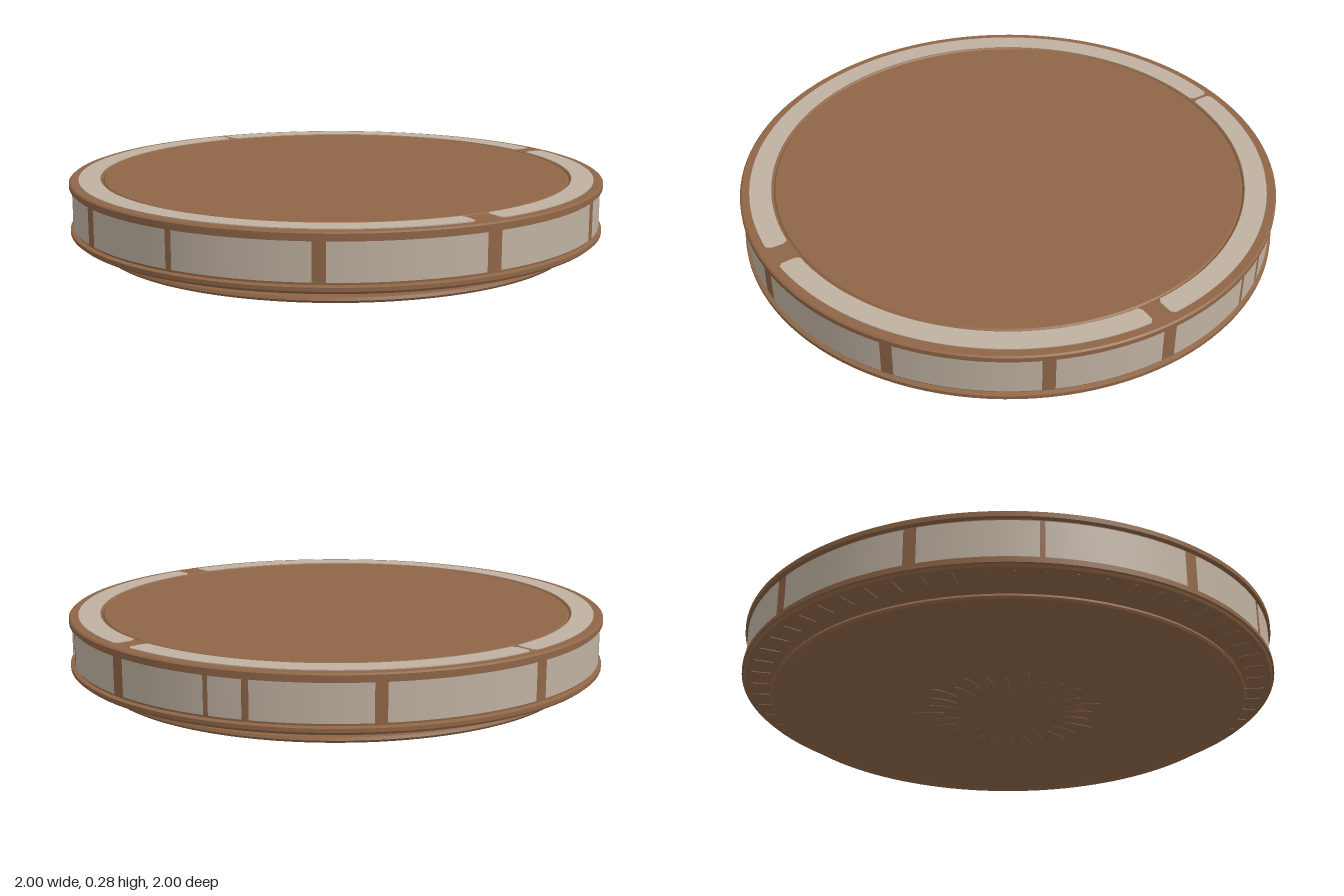
import * as THREE from 'three';
import { toCreasedNormals } from 'three/addons/utils/BufferGeometryUtils.js';

const rad = THREE.MathUtils.degToRad;

export function createModel() {
  const model = new THREE.Group();
  const brown = new THREE.MeshStandardMaterial({ color: 0x8f6647 });
  brown.name = 'brown';
  const cream = new THREE.MeshStandardMaterial({ color: 0xbfb1a1, side: THREE.DoubleSide });
  cream.name = 'cream';

  const add = (name, geometry, material, parent = model) => {
    const mesh = new THREE.Mesh(geometry, material);
    mesh.name = name;
    parent.add(mesh);
    return mesh;
  };
  const group = (name) => {
    const g = new THREE.Group();
    g.name = name;
    model.add(g);
    return g;
  };
  // Turned solid from [radius, height] pairs, running from bottom to top
  const turned = (points) => toCreasedNormals(
    new THREE.LatheGeometry(points.map(([r, y]) => new THREE.Vector2(r, y)), 120), rad(25));

  // Drum with two flanges, a recessed side wall and a gently domed top
  add('drumBody', turned([
    [0, 0.085], [0.86, 0.085], [0.87, 0.074], [0.985, 0.074], [0.99, 0.083],
    [0.998, 0.085], [0.998, 0.098], [0.982, 0.102], [0.982, 0.25],
    [0.998, 0.253], [0.998, 0.27], [0.992, 0.275], [0.88, 0.276],
    [0.874, 0.27], [0.868, 0.276], [0.3, 0.281], [0, 0.284],
  ]), brown);

  // Thin base plate floating below the drum
  add('basePlate', turned([
    [0, 0.004], [0.36, 0.008], [0.86, 0.018], [0.865, 0.014],
    [0.885, 0.016], [0.89, 0.024], [0.885, 0.034], [0.84, 0.03], [0, 0.03],
  ]), brown);

  // Side panels between uprights: [upright angle, half width] in degrees
  const uprights = [
    [0, 1.6], [34, 1.3], [65.5, 1.3], [90.5, 1.5], [113, 0.5], [121, 0.7], [146, 1.2],
    [181, 1.4], [214, 1.3], [239, 0.5], [270.5, 1.4], [296, 0.7], [326, 1.3], [360, 1.6],
  ];
  const sidePanels = group('sidePanels');
  for (let i = 0; i < uprights.length - 1; i++) {
    const start = uprights[i][0] + uprights[i][1];
    const end = uprights[i + 1][0] - uprights[i + 1][1];
    const panel = add('sidePanel', new THREE.CylinderGeometry(
      0.988, 0.988, 0.132, Math.ceil((end - start) / 2), 1, true, rad(start), rad(end - start)), cream, sidePanels);
    panel.position.y = 0.177;
  }

  // Inlaid ring on the top, in three blunt-ended arcs: [start, end] in degrees
  const topInlay = group('topInlay');
  for (const [start, end] of [[2.7, 87.5], [92, 179.5], [180.5, 356.8]]) {
    const a = rad(start - 90), b = rad(end - 90), c = end - start > 0 ? 0.012 : 0;
    const shape = new THREE.Shape();
    shape.absarc(0, 0, 0.963, a + c, b - c, false);
    shape.lineTo(0.95 * Math.cos(b), 0.95 * Math.sin(b));
    shape.lineTo(0.9 * Math.cos(b), 0.9 * Math.sin(b));
    shape.absarc(0, 0, 0.883, b - c, a + c, true);
    shape.lineTo(0.9 * Math.cos(a), 0.9 * Math.sin(a));
    shape.lineTo(0.95 * Math.cos(a), 0.95 * Math.sin(a));
    const arc = add('inlayArc', new THREE.ExtrudeGeometry(shape,
      { depth: 0.004, bevelEnabled: false, curveSegments: 72 }), cream, topInlay);
    arc.rotation.x = -Math.PI / 2;
    arc.position.y = 0.2745;
  }

  // Rosette of shallow radial ridges under the base plate
  const rosette = group('rosette');
  for (let i = 0; i < 28; i++) {
    const angle = i / 28 * Math.PI * 2;
    const r = 0.27 + 0.03 * Math.sin(i * 2.4);
    const ridge = add('ridge', new THREE.SphereGeometry(1, 10, 6), brown, rosette);
    ridge.scale.set(0.013, 0.004, 0.06);
    ridge.position.set(r * Math.sin(angle), 0.0068, r * Math.cos(angle));
    ridge.rotation.y = angle;
  }

  // Fine radial ribs under the drum rim
  const rimRibs = group('rimRibs');
  for (let i = 0; i < 60; i++) {
    const angle = i / 60 * Math.PI * 2;
    const rib = add('rimRib', new THREE.BoxGeometry(0.006, 0.004, 0.07), brown, rimRibs);
    rib.position.set(0.93 * Math.sin(angle), 0.0735, 0.93 * Math.cos(angle));
    rib.rotation.y = angle;
  }
  return model;
}
